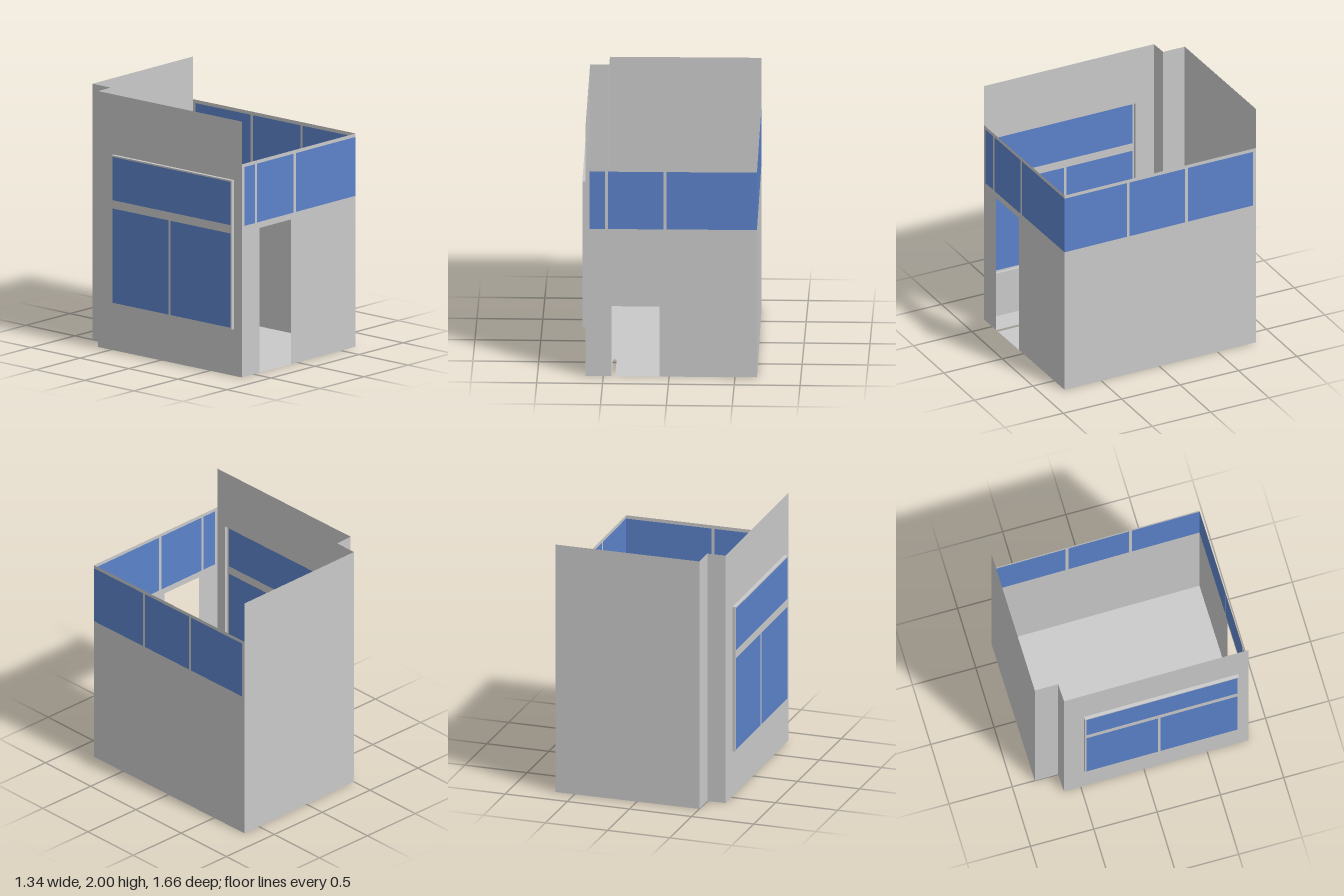
import * as THREE from 'three';

const wallGrey = new THREE.MeshStandardMaterial({ color: 0xc9c9c9, side: THREE.DoubleSide });
wallGrey.name = 'wallGrey';
const glassBlue = new THREE.MeshStandardMaterial({ color: 0x5b82c9, side: THREE.DoubleSide });
glassBlue.name = 'glassBlue';

const rect = (s0, s1, y0, y1) => [[s0, y0], [s1, y0], [s1, y1], [s0, y1]];
const toVectors = (pts) => pts.map(([x, y]) => new THREE.Vector2(x, y));

// Room corners on the ground as [x, z], counter-clockwise seen from above
const FL = [-0.635, 0.827], FR = [0.667, 0.815], BR = [0.652, -0.832];
const BL = [-0.5, -0.822], NOTCH = [-0.5, -0.638], LB = [-0.645, -0.633];
const HIGH = 2, LOW = 1.667, GLASS0 = 1.18, GLASS1 = 1.64;

export function createModel() {
  const room = new THREE.Group();
  room.name = 'room';

  const sheet = (name, parent, outline, material, holes = []) => {
    const shape = new THREE.Shape(toVectors(outline));
    for (const h of holes) shape.holes.push(new THREE.Path(toVectors(h)));
    const mesh = new THREE.Mesh(new THREE.ShapeGeometry(shape), material);
    mesh.name = name;
    parent.add(mesh);
    return mesh;
  };

  // Upright plane from a to b: local x runs along it, local z points outwards
  const plane = (name, a, b) => {
    const g = new THREE.Group();
    g.name = name;
    g.position.set(a[0], 0, a[1]);
    g.rotation.y = Math.atan2(a[1] - b[1], b[0] - a[0]);
    g.userData.length = Math.hypot(b[0] - a[0], b[1] - a[1]);
    room.add(g);
    return g;
  };

  // Strip of glass panes with mullions between them and a rail on top
  const glassBand = (wall, panes) => {
    const L = wall.userData.length;
    let end = 0;
    for (const [s0, s1] of panes) {
      if (s0 > end) sheet('mullion', wall, rect(end, s0, GLASS0, GLASS1), wallGrey);
      sheet('pane', wall, rect(s0, s1, GLASS0, GLASS1), glassBlue);
      end = s1;
    }
    if (L > end) sheet('mullion', wall, rect(end, L, GLASS0, GLASS1), wallGrey);
    sheet('topRail', wall, rect(0, L, GLASS1, LOW), wallGrey);
  };

  // Floor with the narrow slot beside the doorway
  const floorOutline = [FL, [-0.437, 0.825], [-0.439, 0.427], [-0.411, 0.427], [-0.408, 0.825],
    FR, BR, BL, NOTCH, LB].map(([x, z]) => [x, -z]);
  sheet('floor', room, floorOutline, wallGrey).rotation.x = -Math.PI / 2;

  // Front wall with the doorway
  const front = plane('frontWall', FL, FR);
  const fl = front.userData.length;
  sheet('frontWallLower', front, [[0, 0], [0.197, 0], [0.197, 1.132], [0.563, 1.132], [0.563, 0],
    [fl, 0], [fl, GLASS0], [0, GLASS0]], wallGrey);
  glassBand(front, [[0.03, 0.148], [0.173, 0.592], [0.617, fl]]);

  // Right wall
  const right = plane('rightWall', FR, BR);
  sheet('rightWallLower', right, rect(0, right.userData.length, 0, GLASS0), wallGrey);
  glassBand(right, [[0, 0.535], [0.56, 1.037], [1.062, 1.622]]);

  // Tall back wall and the stepped corner
  for (const [name, a, b] of [['backWall', BR, BL], ['cornerSide', BL, NOTCH], ['cornerBack', NOTCH, LB]]) {
    const wall = plane(name, a, b);
    sheet(name + 'Sheet', wall, rect(0, wall.userData.length, 0, HIGH), wallGrey);
  }

  // Tall left wall with the window opening
  const left = plane('leftWall', LB, FL);
  const W0 = 0.158, W1 = 1.378, Y0 = 0.365, Y1 = 1.53, DEPTH = 0.026;
  sheet('leftWallSheet', left, rect(0, left.userData.length, 0, HIGH), wallGrey, [rect(W0, W1, Y0, Y1)]);

  // Window set out from the wall: frame, panes and the four reveals
  const bay = new THREE.Group();
  bay.name = 'bayWindow';
  left.add(bay);
  const panes = [
    rect(W0 + 0.013, W1 - 0.013, 1.18, 1.518),
    rect(W0 + 0.013, 0.735, 0.378, 1.115),
    rect(0.757, W1 - 0.013, 0.378, 1.115),
  ];
  sheet('windowFrame', bay, rect(W0, W1, Y0, Y1), wallGrey, panes).position.z = DEPTH;
  for (const p of panes) sheet('windowPane', bay, p, glassBlue).position.z = DEPTH;
  for (const [name, y, turn] of [['windowHead', Y1, -1], ['windowSill', Y0, 1]]) {
    const m = new THREE.Mesh(new THREE.PlaneGeometry(W1 - W0, DEPTH), wallGrey);
    m.name = name;
    m.position.set((W0 + W1) / 2, y, DEPTH / 2);
    m.rotation.x = turn * Math.PI / 2;
    bay.add(m);
  }
  for (const [s, turn] of [[W0, -1], [W1, 1]]) {
    const m = new THREE.Mesh(new THREE.PlaneGeometry(DEPTH, Y1 - Y0), wallGrey);
    m.name = 'windowJamb';
    m.position.set(s, (Y0 + Y1) / 2, DEPTH / 2);
    m.rotation.y = turn * Math.PI / 2;
    bay.add(m);
  }
  return room;
}
